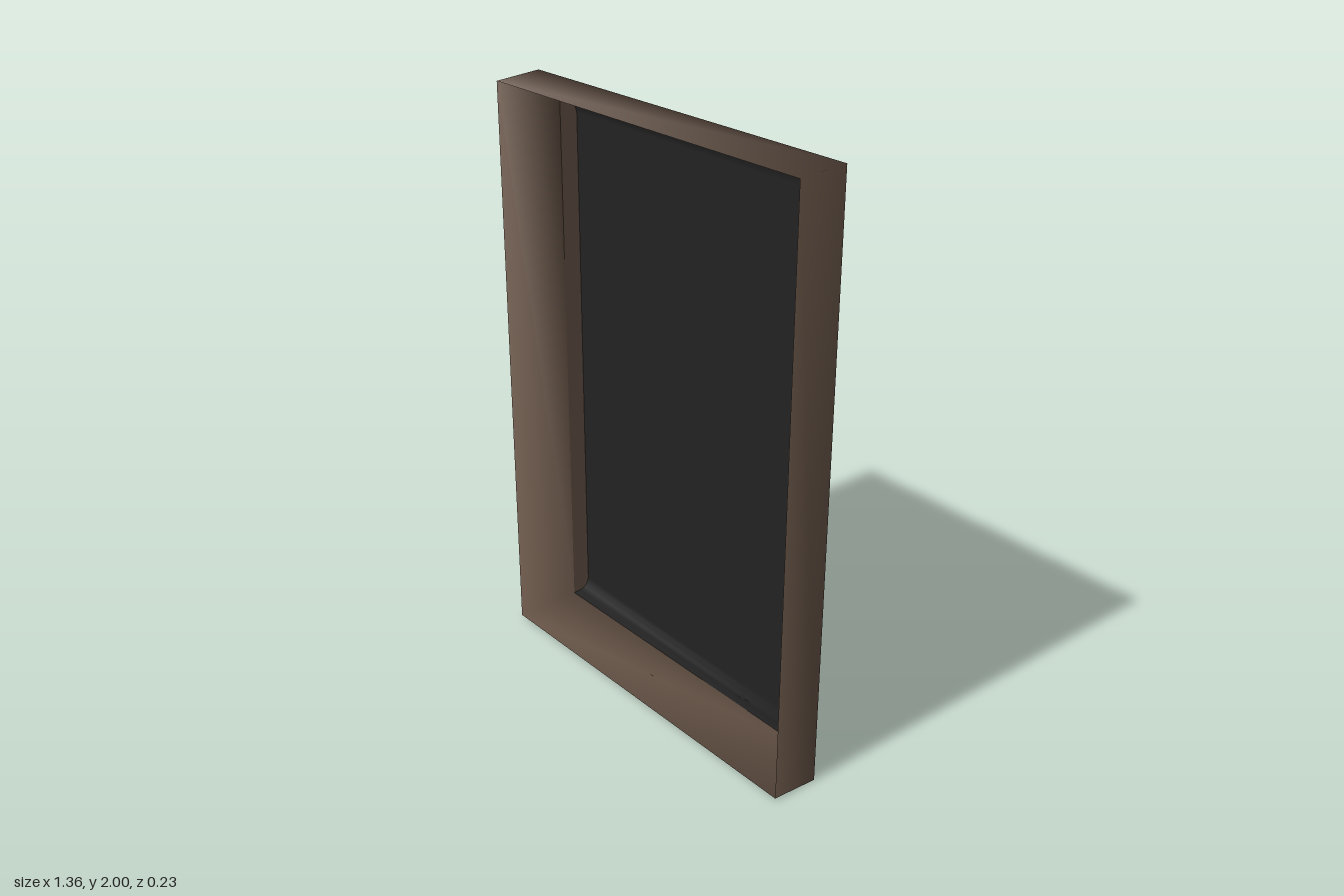
import * as THREE from 'three';

const frameBrown = new THREE.MeshStandardMaterial({ color: 0x6e5a4c, side: THREE.DoubleSide });
frameBrown.name = 'frameBrown';
const panelBlack = new THREE.MeshStandardMaterial({ color: 0x222222, side: THREE.DoubleSide });
panelBlack.name = 'panelBlack';

// Rectangular loop, anticlockwise from the front: bottom, right, top and left sides
const rect = (x0, x1, y0, y1, z) => [[x0, y0, z], [x1, y0, z], [x1, y1, z], [x0, y1, z]];

// Joins successive loops along the chosen sides with shared, smooth vertices
function loft(loops, sides, capFirst = false) {
  const index = [];
  for (let k = 0; k < loops.length - 1; k++) {
    for (const i of sides) {
      const a = 4 * k + i, b = 4 * k + (i + 1) % 4;
      index.push(a, b, b + 4, a, b + 4, a + 4);
    }
  }
  if (capFirst) index.push(0, 3, 2, 0, 2, 1);
  const g = new THREE.BufferGeometry();
  g.setAttribute('position', new THREE.Float32BufferAttribute(loops.flat(2), 3));
  g.setIndex(index);
  g.computeVertexNormals();
  return g;
}

export function createModel() {
  const model = new THREE.Group();
  model.name = 'framedPanel';
  const add = (name, geometry, material) => {
    const mesh = new THREE.Mesh(geometry, material);
    mesh.name = name;
    model.add(mesh);
  };

  // Frame: wedge section with a sharp front rim and a sloping inner face.
  // Repeating an index back to the first loop keeps the ring closed and smooth.
  const outerBack = rect(-0.68, 0.68, 0, 2, -0.053);
  const rim = rect(-0.675, 0.675, 0.01, 1.99, 0.112);
  const inner = rect(-0.57, 0.566, 0.09, 1.92, -0.053);
  const frame = loft([outerBack, rim, inner], [0, 1, 2, 3]);
  const index = [...frame.index.array];
  for (let i = 0; i < 4; i++) {
    const j = (i + 1) % 4;
    index.push(8 + i, 8 + j, j, 8 + i, j, i);
  }
  frame.setIndex(index);
  frame.computeVertexNormals();
  add('frame', frame, frameBrown);

  // Shallow backing tray with rounded edges; its right wall (-x) is nearly straight
  const steps = [[0.045, -0.115], [0.024, -0.109], [0.011, -0.098], [0.004, -0.08], [0, -0.053]];
  const loops = steps.map(([inset, z]) =>
    rect(-0.57 + 0.08 * (-0.053 - z), 0.566 - inset, 0.09 + inset, 1.92 - inset, z));
  add('backPanel', loft(loops, [0, 1, 2], true), panelBlack);
  add('backPanelSideWall', loft(loops, [3]), frameBrown);

  return model;
}
